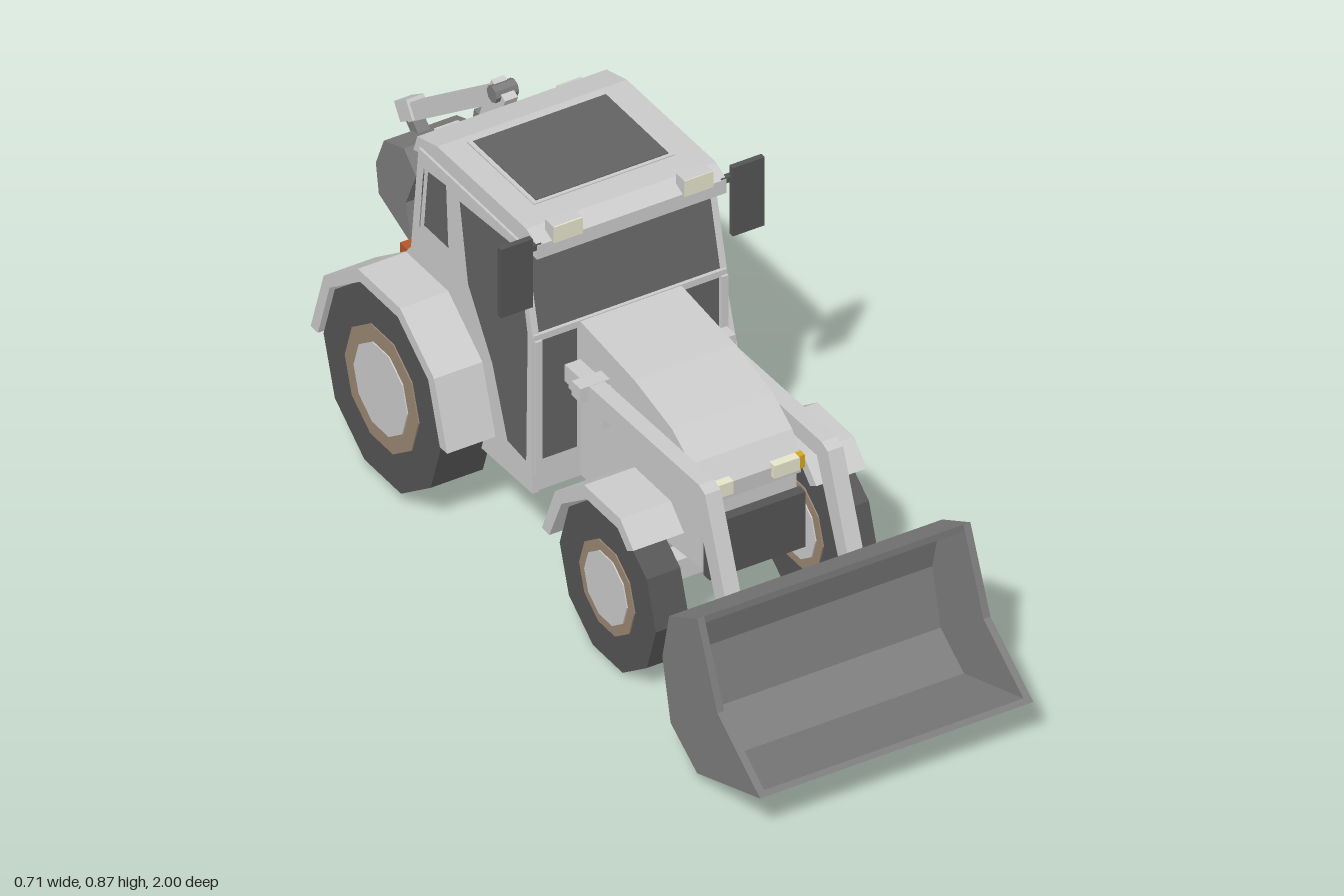
import * as THREE from 'three';

const mat = (color) => new THREE.MeshStandardMaterial({ color, flatShading: true });
const GREY = mat(0xcccccc), DARK = mat(0x555555), GLASS = mat(0x636363), STEEL = mat(0x7c7c7c);
const TAN = mat(0x998673), CREAM = mat(0xe6e6cc), AMBER = mat(0xd9a520), ORANGE = mat(0xb5562a);

export function createModel() {
  const model = new THREE.Group();
  const add = (name, geo, m) => {
    const mesh = new THREE.Mesh(geo, m);
    mesh.name = name;
    model.add(mesh);
    return mesh;
  };
  const box = (name, x, y, z, w, h, d, m = GREY) => {
    const b = add(name, new THREE.BoxGeometry(w, h, d), m);
    b.position.set(x, y, z);
  };
  // Side profile given as [z, y] points, extruded across x
  const outline = (pts) => pts.map(([z, y]) => new THREE.Vector2(-z, y));
  const prof = (name, pts, width, x = 0, m = GREY, holes = []) => {
    const shape = new THREE.Shape(outline(pts));
    for (const h of holes) shape.holes.push(new THREE.Path(outline(h)));
    const geo = new THREE.ExtrudeGeometry(shape, { depth: width, bevelEnabled: false });
    geo.translate(0, 0, -width / 2).rotateY(Math.PI / 2).translate(x, 0, 0);
    add(name, geo, m);
  };
  // Rectangular bar between two points
  const bar = (name, a, b, w, h, m = GREY) => {
    const p = new THREE.Vector3(...a), q = new THREE.Vector3(...b);
    const mesh = add(name, new THREE.BoxGeometry(w, h, p.distanceTo(q)), m);
    mesh.position.copy(p).add(q).multiplyScalar(0.5);
    mesh.lookAt(q);
  };
  const disc = (name, r, w, x, y, z, m, sides = 10) => {
    const c = add(name, new THREE.CylinderGeometry(r, r, w, sides).rotateZ(Math.PI / 2), m);
    c.position.set(x, y, z);
  };

  // Wheels: ten-sided tyre, rim ring and hub
  const wheel = (name, x, y, z, r, w, rim, hub) => {
    disc(name + 'Tyre', r, w, x, y, z, DARK);
    disc(name + 'Rim', rim, w + 0.006, x, y, z, TAN);
    disc(name + 'Hub', hub, w + 0.012, x, y, z, GREY);
  };
  const arc = (z, y, r, angles) => angles.map((a) => [
    z + r * Math.cos(a * Math.PI / 180), y + r * Math.sin(a * Math.PI / 180)]);
  const rearAngles = [0, 36, 72, 108, 144, 180];
  const rearFender = [...arc(-0.5, 0.257, 0.272, rearAngles), ...arc(-0.5, 0.257, 0.243, rearAngles).reverse()];
  const frontFender = [[0.40, 0.36], [0.347, 0.41], [0.203, 0.41], [0.087, 0.325], [0.035, 0.2],
    [0.065, 0.2], [0.113, 0.308], [0.213, 0.38], [0.337, 0.38], [0.375, 0.345]];
  for (const s of [-1, 1]) {
    wheel('rear', s * 0.283, 0.257, -0.5, 0.236, 0.128, 0.147, 0.107);
    wheel('front', s * 0.231, 0.187, 0.275, 0.192, 0.082, 0.11, 0.085);
    prof('rearFender', rearFender, 0.127, s * 0.293);
    prof('frontFender', frontFender, 0.124, s * 0.224);
  }
  bar('frontAxle', [-0.2, 0.187, 0.275], [0.2, 0.187, 0.275], 0.05, 0.05);
  bar('rearAxle', [-0.24, 0.257, -0.5], [0.24, 0.257, -0.5], 0.07, 0.07);

  // Engine, hood and nose
  prof('engineBody', [[0.395, 0.25], [0.395, 0.45], [-0.09, 0.5], [-0.09, 0.2], [0.05, 0.2], [0.2, 0.23]], 0.232);
  prof('hood', [[0.4, 0.41], [0.403, 0.45], [0.365, 0.5], [0.29, 0.545], [0.14, 0.58], [-0.1, 0.603],
    [-0.1, 0.47], [0.3, 0.44]], 0.248);
  box('frontGuard', 0, 0.31, 0.417, 0.235, 0.14, 0.025, DARK);
  for (const s of [-1, 1]) {
    box('headlight', s * 0.081, 0.445, 0.403, 0.062, 0.032, 0.025, CREAM);
    box('frontIndicator', s * 0.118, 0.445, 0.395, 0.017, 0.032, 0.034, AMBER);
  }

  // Cab core, with framed openings on the sides
  prof('cabBody', [[-0.085, 0.2], [-0.085, 0.597], [-0.135, 0.805], [-0.53, 0.805], [-0.56, 0.54],
    [-0.67, 0.43], [-0.67, 0.26], [-0.45, 0.19]], 0.444);
  const door = [[-0.14, 0.79], [-0.393, 0.77], [-0.357, 0.565], [-0.26, 0.42], [-0.2, 0.26], [-0.106, 0.25], [-0.1, 0.595]];
  const rearSide = [[-0.425, 0.78], [-0.515, 0.77], [-0.532, 0.61], [-0.415, 0.61]];
  for (const s of [-1, 1]) {
    prof('cabSideFrame', [[-0.08, 0.2], [-0.08, 0.597], [-0.132, 0.81], [-0.535, 0.81], [-0.565, 0.54],
      [-0.66, 0.43], [-0.66, 0.26], [-0.45, 0.19]], 0.016, s * 0.23, GREY, [door, rearSide]);
    prof('doorGlass', door, 0.006, s * 0.223, GLASS);
    prof('rearSideGlass', rearSide, 0.006, s * 0.223, GLASS);
    box('lowerFrontGlass', s * 0.174, 0.435, -0.084, 0.09, 0.31, 0.006, GLASS);
    box('cabFrontPost', s * 0.228, 0.42, -0.08, 0.016, 0.34, 0.02);
  }
  prof('windscreen', [[-0.082, 0.605], [-0.129, 0.8], [-0.14, 0.8], [-0.093, 0.605]], 0.444, 0, GLASS);
  prof('rearWindow', [[-0.53, 0.78], [-0.537, 0.78], [-0.562, 0.56], [-0.55, 0.56]], 0.37, 0, GLASS);
  box('windscreenSill', 0, 0.595, -0.083, 0.47, 0.016, 0.014);

  // Roof, sunroof and work lights
  prof('roof', [[-0.072, 0.8], [-0.072, 0.835], [-0.115, 0.853], [-0.47, 0.85], [-0.55, 0.828], [-0.565, 0.785], [-0.53, 0.795]], 0.464);
  box('sunroofFrame', 0, 0.85, -0.315, 0.345, 0.01, 0.268);
  box('sunroof', 0, 0.852, -0.315, 0.325, 0.01, 0.25, GLASS);
  for (const s of [-1, 1]) {
    box('roofLight', s * 0.16, 0.853, -0.083, 0.07, 0.04, 0.034);
    box('roofLightLens', s * 0.16, 0.853, -0.066, 0.07, 0.04, 0.004, CREAM);
    box('rearWorkLight', s * 0.15, 0.803, -0.553, 0.06, 0.03, 0.03);
    box('rearWorkLens', s * 0.15, 0.803, -0.569, 0.055, 0.026, 0.004, CREAM);
    // Mirrors on short stalks
    box('mirrorStalk', s * 0.235, 0.83, -0.08, 0.03, 0.014, 0.014, DARK);
    box('mirror', s * 0.284, 0.773, -0.075, 0.078, 0.174, 0.014, DARK);
    box('mirrorGlass', s * 0.284, 0.773, -0.083, 0.068, 0.162, 0.004, CREAM);
    // Tail lights
    box('reverseLight', s * 0.145, 0.455, -0.655, 0.035, 0.03, 0.04, CREAM);
    box('tailLight', s * 0.18, 0.455, -0.655, 0.035, 0.03, 0.04, ORANGE);
  }
  box('rearBox', 0, 0.39, -0.635, 0.24, 0.24, 0.1);

  // Lift arms with pivots and links to the bucket
  for (const s of [-1, 1]) {
    const x = s * 0.15 - 0.006;
    prof('liftArm', [[-0.055, 0.522], [0.48, 0.535], [0.505, 0.525], [0.608, 0.245], [0.565, 0.235], [0.462, 0.49], [-0.055, 0.48]], 0.038, x);
    bar('liftRam', [x, 0.478, -0.05], [x, 0.486, 0.3], 0.025, 0.03);
    box('armPivot', x, 0.507, 0.025, 0.08, 0.036, 0.036);
    box('bucketPivot', x, 0.217, 0.572, 0.1, 0.052, 0.054);
    box('bucketHitch', x, 0.225, 0.6, 0.06, 0.07, 0.03, DARK);
    box('armBracket', s * 0.13, 0.46, 0.025, 0.03, 0.1, 0.05);
  }

  // Front bucket: bent shell between two end plates
  const back = [[0.997, 0.107], [0.746, 0.021], [0.64, 0.086], [0.607, 0.235], [0.634, 0.355], [0.746, 0.415]];
  const inner = [[0.746, 0.398], [0.648, 0.345], [0.622, 0.235], [0.655, 0.098], [0.748, 0.037], [0.985, 0.115]];
  prof('bucketShell', [...back, ...inner], 0.64, -0.008, STEEL);
  for (const s of [-1, 1]) prof('bucketSide', [...back, [0.826, 0.222]], 0.017, s * 0.326 - 0.008, STEEL);

  // Rear digger: mount, swing post, boom, stick and bucket
  const dx = 0.01;
  box('diggerMount', dx, 0.235, -0.745, 0.18, 0.05, 0.17, STEEL);
  box('mountTop', dx, 0.285, -0.755, 0.12, 0.05, 0.16);
  box('mountBeam', 0, 0.27, -0.67, 0.4, 0.06, 0.03);
  for (const s of [-1, 1]) {
    bar('mountBrace', [s * 0.16, 0.3, -0.66], [s * 0.06, 0.27, -0.78], 0.02, 0.03);
    box('swingPlate', dx + s * 0.024, 0.385, -0.752, 0.014, 0.18, 0.07);
  }
  disc('boomPin', 0.022, 0.09, dx, 0.445, -0.752, STEEL, 8);
  bar('boom', [dx, 0.42, -0.765], [dx, 0.835, -0.595], 0.032, 0.06);
  bar('stick', [dx, 0.825, -0.6], [dx, 0.555, -0.965], 0.032, 0.04);
  bar('boomRam', [dx, 0.46, -0.745], [dx, 0.72, -0.69], 0.02, 0.022, STEEL);
  disc('boomTopPin', 0.02, 0.055, dx, 0.825, -0.602, STEEL, 8);
  bar('stickTip', [dx, 0.58, -0.94], [dx, 0.548, -0.988], 0.044, 0.046);
  bar('bucketLink', [dx, 0.555, -0.965], [dx, 0.5, -0.9], 0.03, 0.03, STEEL);
  prof('diggerBucket', [[-0.86, 0.553], [-0.94, 0.525], [-0.972, 0.45], [-0.96, 0.378], [-0.83, 0.327],
    [-0.852, 0.42], [-0.812, 0.51]], 0.178, 0.015, STEEL);

  return model;
}
